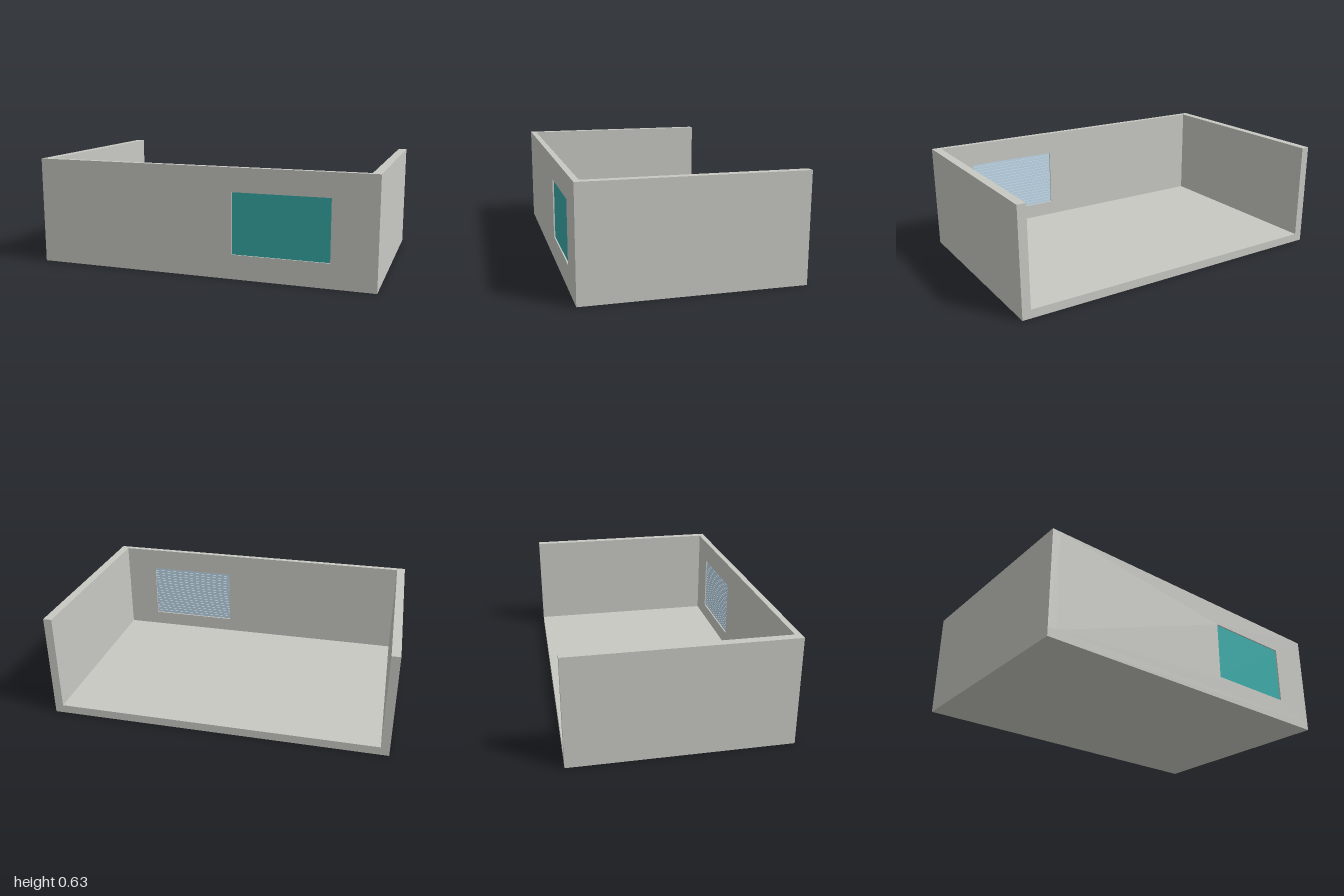
import * as THREE from 'three';

const W = 1, H = 0.626, D = 0.623; // half width, height, half depth
const SIDE = 0.05, FLOOR = 0.05, FRONT = 0.034;
const WIN = { x0: 0.2, x1: 0.75, y0: 0.14, y1: 0.49 };

function material(name, color) {
  const m = new THREE.MeshStandardMaterial({ color });
  m.name = name;
  return m;
}

export function createModel() {
  const model = new THREE.Group();
  model.name = 'openRoom';
  const concrete = material('concreteGrey', 0xc8c8c3);
  const teal = material('teal', 0x37aaa8);
  const paleBlue = material('paleBlue', 0xc4dcec);

  const box = (name, mat, x0, x1, y0, y1, z0, z1, parent = model) => {
    const mesh = new THREE.Mesh(new THREE.BoxGeometry(x1 - x0, y1 - y0, z1 - z0), mat);
    mesh.position.set((x0 + x1) / 2, (y0 + y1) / 2, (z0 + z1) / 2);
    mesh.name = name;
    parent.add(mesh);
  };

  // Floor slab and the two side walls
  box('floor', concrete, -W, W, 0, FLOOR, -D, D);
  box('leftWall', concrete, W - SIDE, W, FLOOR, H, -D, D);
  box('rightWall', concrete, -W, -W + SIDE, FLOOR, H, -D, D);

  // Front wall with the window opening
  const wall = new THREE.Shape([
    new THREE.Vector2(-W + SIDE, FLOOR), new THREE.Vector2(W - SIDE, FLOOR),
    new THREE.Vector2(W - SIDE, H), new THREE.Vector2(-W + SIDE, H),
  ]);
  wall.holes.push(new THREE.Path([
    new THREE.Vector2(WIN.x0, WIN.y0), new THREE.Vector2(WIN.x0, WIN.y1),
    new THREE.Vector2(WIN.x1, WIN.y1), new THREE.Vector2(WIN.x1, WIN.y0),
  ]));
  const frontWall = new THREE.Mesh(
    new THREE.ExtrudeGeometry(wall, { depth: FRONT, bevelEnabled: false }), concrete);
  frontWall.position.z = D - FRONT;
  frontWall.name = 'frontWall';
  model.add(frontWall);

  // Window: teal outer pane, set back slightly from the wall face
  box('windowPane', teal, WIN.x0, WIN.x1, WIN.y0, WIN.y1, D - 0.017, D - 0.008);

  // Horizontal blind slats on the room side
  const blind = new THREE.Group();
  blind.name = 'windowBlind';
  model.add(blind);
  const count = 18, pitch = (WIN.y1 - WIN.y0) / count;
  for (let i = 0; i < count; i++) {
    const y = WIN.y0 + i * pitch;
    box('blindSlat', paleBlue, WIN.x0, WIN.x1, y + 0.001, y + pitch - 0.001,
      D - FRONT + 0.008, D - 0.017, blind);
  }
  return model;
}
